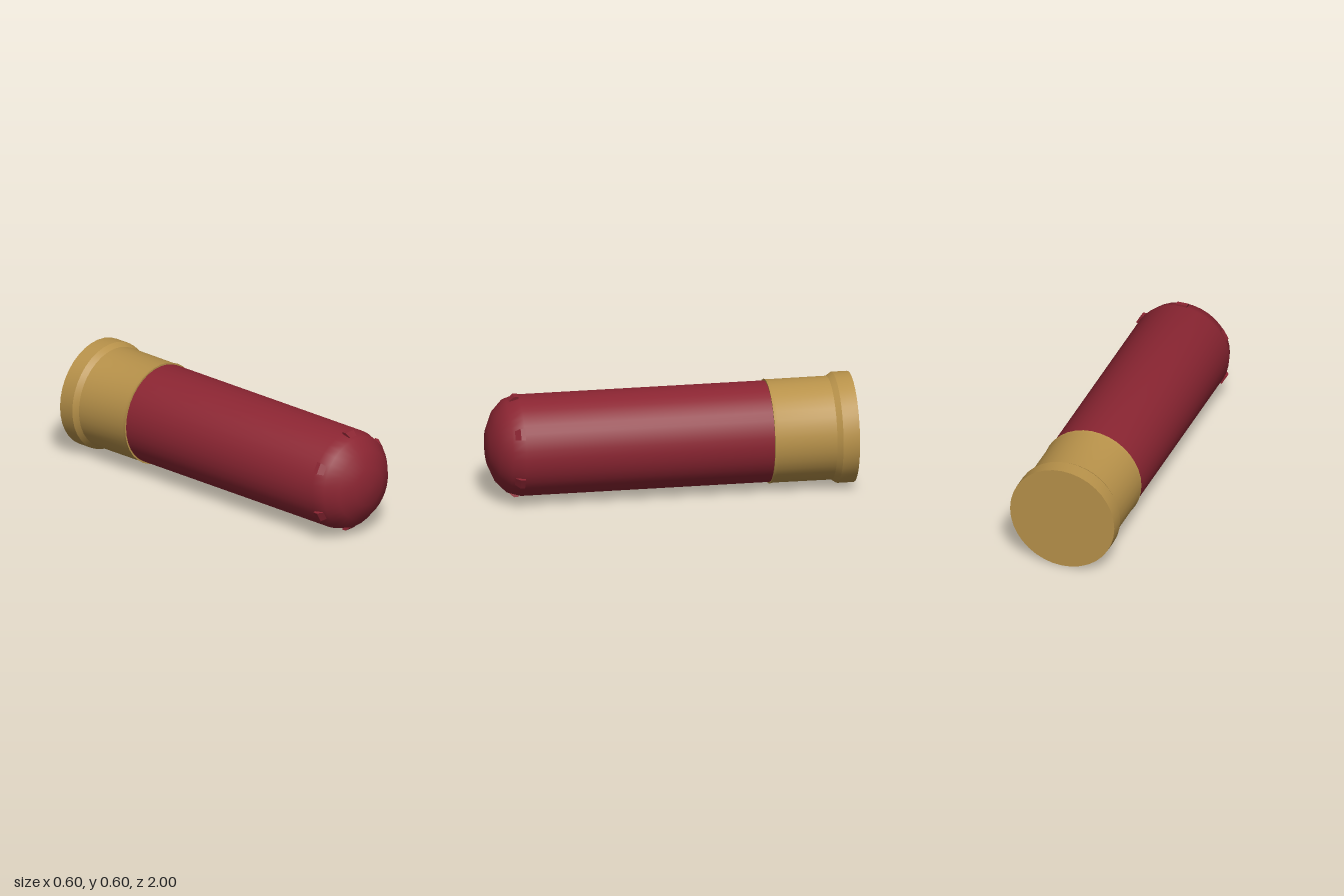
import * as THREE from 'three';
import { toCreasedNormals } from 'three/addons/utils/BufferGeometryUtils.js';

const RED = new THREE.MeshStandardMaterial({ color: 0x8b2532 });
const BRASS = new THREE.MeshStandardMaterial({ color: 0xb8924a });
const SIDES = 36;

// Turned part along z from [radius, z] points, listed back to front
function turned(name, points, material, crease) {
  const profile = points.map(([r, z]) => new THREE.Vector2(r, z));
  const lathe = new THREE.LatheGeometry(profile, SIDES).rotateX(Math.PI / 2);
  const mesh = new THREE.Mesh(toCreasedNormals(lathe, crease), material);
  mesh.name = name;
  return mesh;
}

// Small wedge tab: wide flat top, sloping front, narrower foot sunk in the dome
function tabGeometry() {
  const geometry = new THREE.BoxGeometry(1, 1, 1).toNonIndexed();
  const p = geometry.attributes.position;
  for (let i = 0; i < p.count; i++) {
    const outer = p.getY(i) > 0;
    const front = p.getZ(i) > 0;
    p.setXYZ(
      i,
      Math.sign(p.getX(i)) * (outer ? 0.032 : 0.025),
      outer ? 0.284 : 0.26,
      front ? (outer ? 0.845 : 0.873) : 0.82
    );
  }
  geometry.computeVertexNormals();
  return geometry;
}

export function createModel() {
  const model = new THREE.Group();
  model.name = 'cartridge';

  // Plastic tube closed by a shallow elliptical dome
  const hull = [[0.274, -0.56]];
  for (let i = 0; i <= 4; i++) {
    const a = (i / 4) * Math.PI / 2;
    hull.push([i === 4 ? 0 : 0.274 * Math.cos(a), 0.82 + 0.18 * Math.sin(a)]);
  }
  model.add(turned('hull', hull, RED, 0.7));

  // Metal base with a flared rim and a thin front lip
  model.add(turned('metalBase', [
    [0, -1], [0.3, -1], [0.3, -0.91], [0.28, -0.88],
    [0.279, -0.56], [0.283, -0.54], [0.27, -0.54],
  ], BRASS, 0.4));

  // Six tabs around the shoulder of the dome
  const tab = tabGeometry();
  for (let i = 0; i < 6; i++) {
    const mesh = new THREE.Mesh(tab, RED);
    mesh.name = 'crimpTab' + (i + 1);
    mesh.rotation.z = (i * Math.PI) / 3;
    model.add(mesh);
  }

  model.children.forEach((part) => { part.position.y = 0.3; });
  return model;
}
